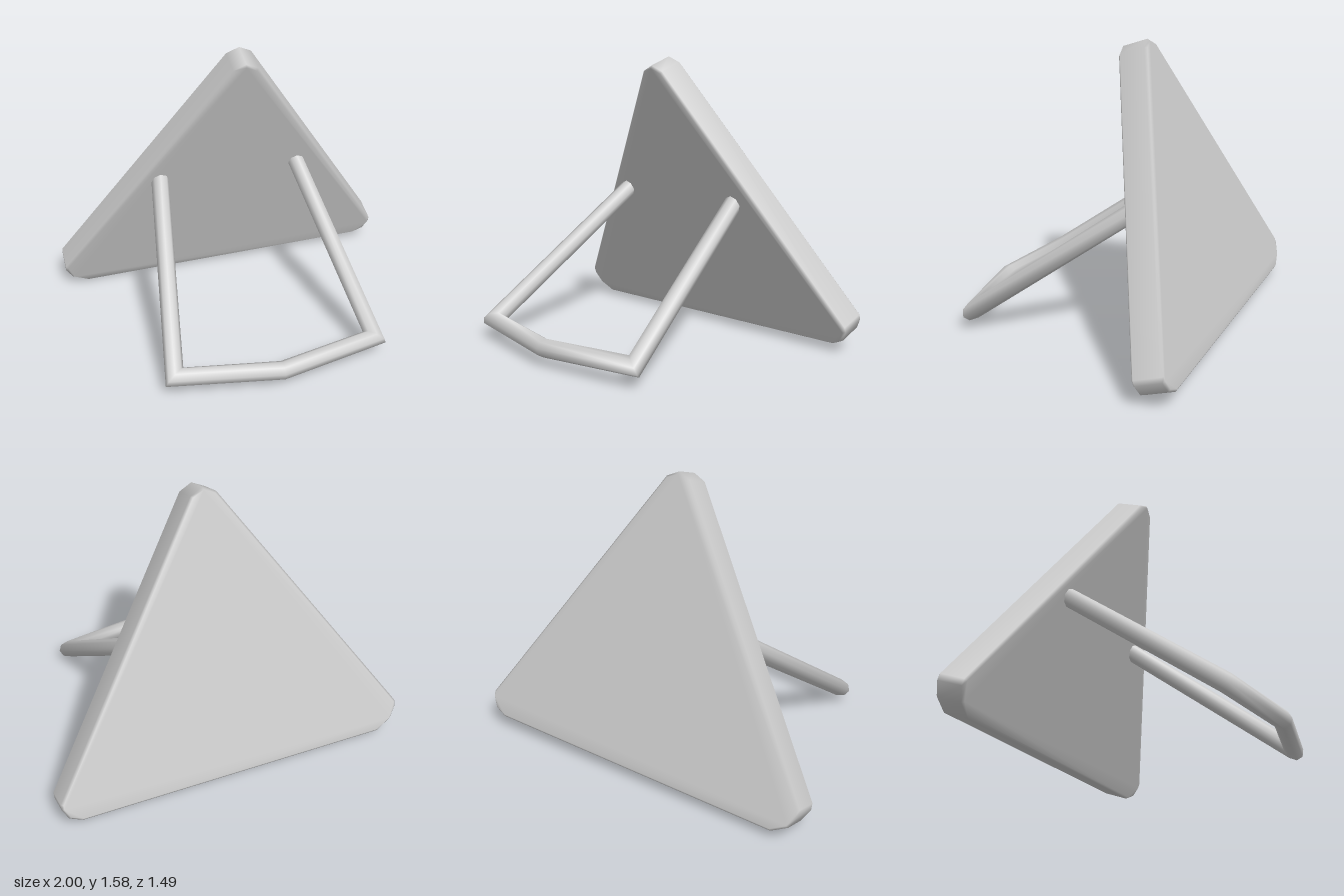
import * as THREE from 'three';
import { mergeVertices } from 'three/addons/utils/BufferGeometryUtils.js';

const material = new THREE.MeshStandardMaterial({ color: 0xcccccc });

// Share vertices so that shading runs smoothly over the edges
function smooth(geometry) {
  geometry.deleteAttribute('normal');
  geometry.deleteAttribute('uv');
  const merged = mergeVertices(geometry, 1e-4);
  merged.computeVertexNormals();
  return merged;
}

// Rod swept along a path with mitred corners; n is the normal of the path's plane
function mitredRod(path, n, radius, sides) {
  const positions = [], index = [];
  path.forEach((p, i) => {
    const a = path[Math.max(i - 1, 0)], b = path[Math.min(i + 1, path.length - 1)];
    const into = (i ? p.clone().sub(a) : b.clone().sub(p)).normalize();
    const out = (i < path.length - 1 ? b.clone().sub(p) : into.clone()).normalize();
    const tangent = into.clone().add(out).normalize();
    const across = new THREE.Vector3().crossVectors(n, tangent).normalize();
    const up = new THREE.Vector3().crossVectors(tangent, across);
    const stretch = 1 / tangent.dot(into);
    for (let k = 0; k < sides; k++) {
      const angle = (k / sides) * Math.PI * 2;
      const v = p.clone()
        .addScaledVector(across, Math.cos(angle) * radius * stretch)
        .addScaledVector(up, Math.sin(angle) * radius);
      positions.push(v.x, v.y, v.z);
    }
  });
  for (let i = 0; i < path.length - 1; i++) {
    for (let k = 0; k < sides; k++) {
      const a = i * sides + k, b = i * sides + (k + 1) % sides;
      index.push(a, b, b + sides, a, b + sides, a + sides);
    }
  }
  // End caps
  const last = (path.length - 1) * sides;
  for (let k = 1; k < sides - 1; k++) {
    index.push(0, k + 1, k, last, last + k, last + k + 1);
  }
  const geometry = new THREE.BufferGeometry();
  geometry.setAttribute('position', new THREE.Float32BufferAttribute(positions, 3));
  geometry.setIndex(index);
  geometry.computeVertexNormals();
  return geometry;
}

export function createModel() {
  const group = new THREE.Group();

  // Leaning triangular panel with clipped corners and a fine bevel
  const outline = [
    [0.01, 1.624], [-0.06, 1.59], [-1, 0.155], [-1, 0.12], [-0.96, 0.05], [-0.87, 0],
    [0.9, 0.037], [0.97, 0.07], [1, 0.13], [1, 0.16], [0.08, 1.59],
  ].map(([x, y]) => new THREE.Vector2(x, y));
  const bevel = 0.012, thickness = 0.17;
  const panelGeometry = new THREE.ExtrudeGeometry(new THREE.Shape(outline), {
    depth: thickness - 2 * bevel, bevelEnabled: true, bevelThickness: bevel,
    bevelSize: bevel, bevelOffset: -bevel, bevelSegments: 1,
  });
  panelGeometry.translate(0, 0, bevel - thickness);
  const panel = new THREE.Mesh(smooth(panelGeometry), material);
  panel.name = 'trianglePanel';
  panel.rotation.x = 0.331;
  panel.position.z = -0.58;
  group.add(panel);

  // Bent rod stand: two legs joined by a slightly bowed foot bar
  const path = [
    [-0.43, 0.8, -0.34], [-0.59, 0.105, 0.6], [-0.02, 0.093, 0.7],
    [0.55, 0.11, 0.6], [0.39, 0.8, -0.34],
  ].map((p) => new THREE.Vector3(...p));
  const stand = new THREE.Mesh(
    mitredRod(path, new THREE.Vector3(0, 0.79, 0.61), 0.05, 8), material);
  stand.name = 'supportStand';
  group.add(stand);

  return group;
}
